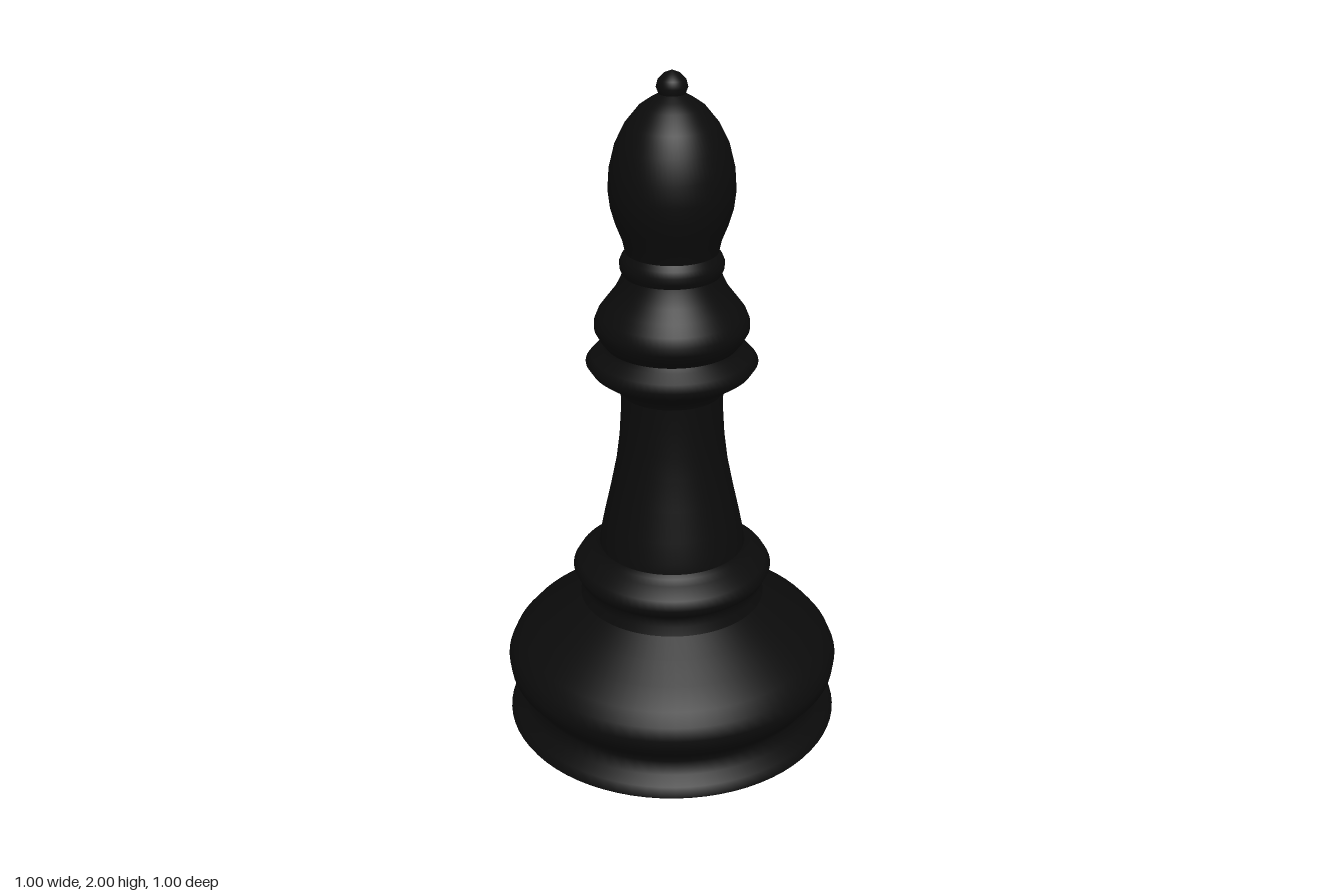
import * as THREE from 'three';

const SEGMENTS = 72;

// Profiles as [radius, height], bottom to top; each part is turned about the y axis
const PARTS = {
  underside: [[0, 0], [0.35, 0]],
  foot: [[0.35, 0], [0.44, 0.005], [0.495, 0.014], [0.5, 0.022], [0.485, 0.045], [0.46, 0.07], [0.443, 0.105],
    [0.46, 0.135], [0.495, 0.178], [0.5, 0.215], [0.485, 0.25], [0.455, 0.285], [0.4, 0.328], [0.335, 0.376], [0.275, 0.42]],
  lowerCollar: [[0.275, 0.42], [0.266, 0.445], [0.26, 0.47], [0.282, 0.488], [0.295, 0.515], [0.28, 0.54],
    [0.24, 0.565], [0.222, 0.578], [0.215, 0.59]],
  stem: [[0.215, 0.59], [0.212, 0.62], [0.2, 0.68], [0.18, 0.77], [0.162, 0.86], [0.152, 0.94], [0.147, 1.02], [0.147, 1.08]],
  upperCollar: [[0.147, 1.08], [0.157, 1.102], [0.195, 1.124], [0.228, 1.148], [0.245, 1.174], [0.228, 1.194],
    [0.197, 1.213], [0.19, 1.226]],
  skirt: [[0.19, 1.226], [0.205, 1.246], [0.219, 1.272], [0.219, 1.295], [0.208, 1.322], [0.185, 1.353],
    [0.16, 1.386], [0.145, 1.416], [0.138, 1.435]],
  neckRing: [[0.138, 1.435], [0.145, 1.45], [0.147, 1.468], [0.14, 1.485], [0.13, 1.5]],
  head: [[0.13, 1.5], [0.138, 1.535], [0.155, 1.578], [0.169, 1.625], [0.175, 1.675], [0.171, 1.735], [0.155, 1.8],
    [0.128, 1.855], [0.09, 1.902], [0.06, 1.923], [0.036, 1.937]],
  finial: [[0.036, 1.937], [0.043, 1.955], [0.038, 1.975], [0.022, 1.991], [0, 2]],
};

export function createModel() {
  const model = new THREE.Group();
  model.name = 'chessPiece';
  const black = new THREE.MeshStandardMaterial({ color: 0x0b0b0b });
  black.name = 'black';

  for (const [name, profile] of Object.entries(PARTS)) {
    const points = profile.map(([r, y]) => new THREE.Vector2(r, y));
    const mesh = new THREE.Mesh(new THREE.LatheGeometry(points, SEGMENTS), black);
    mesh.name = name;
    model.add(mesh);
  }
  return model;
}
